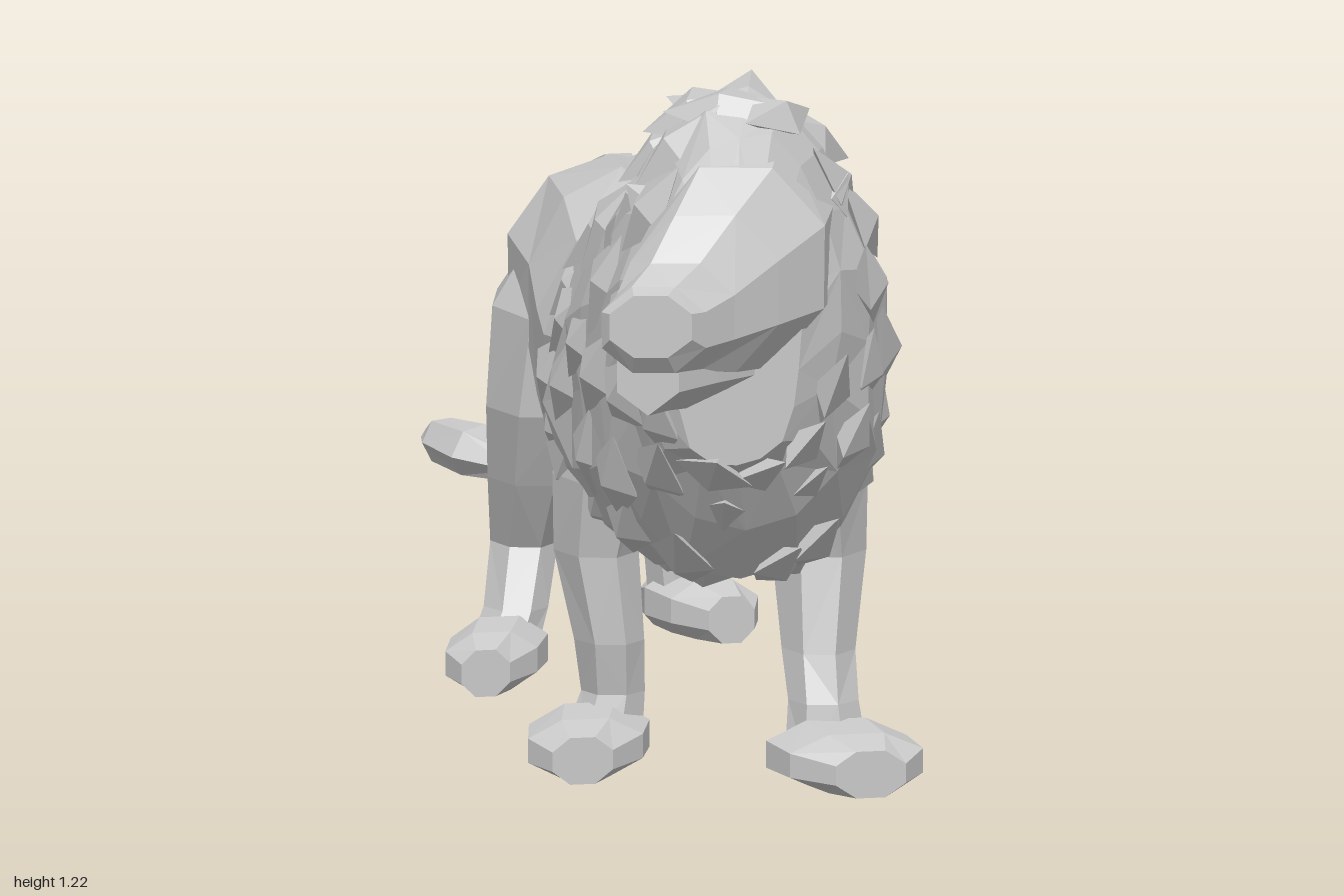
import * as THREE from 'three';
import { mergeGeometries } from 'three/addons/utils/BufferGeometryUtils.js';

const V = (x, y, z) => new THREE.Vector3(x, y, z);
let seed = 7;
const rnd = () => { seed = (seed * 16807) % 2147483647; return seed / 2147483647 - 0.5; };

// Skins elliptical rings [x, y, z, halfWidth, halfHeight] with capped ends.
// dir fixes the ring normal; without it the rings follow the path.
function loft(rings, sides, { dir, up = V(0, 1, 0), jitter = 0, egg = 0 } = {}) {
  const pos = [], idx = [], n = rings.length;
  const centre = i => V(rings[i][0], rings[i][1], rings[i][2]);
  rings.forEach((r, i) => {
    const t = (dir ? dir.clone() : centre(Math.min(i + 1, n - 1)).sub(centre(Math.max(i - 1, 0)))).normalize();
    const right = up.clone().cross(t).normalize(), top = t.clone().cross(right);
    for (let j = 0; j < sides; j++) {
      const a = (j + 0.5) / sides * Math.PI * 2, k = 1 + rnd() * jitter;
      const s = Math.sin(a), w = r[3] * k * (1 - egg * s), h = r[4] * k;
      pos.push(...centre(i).addScaledVector(right, Math.cos(a) * w).addScaledVector(top, s * h).toArray());
    }
  });
  for (let i = 0; i < n - 1; i++) for (let j = 0; j < sides; j++) {
    const a = i * sides + j, b = i * sides + (j + 1) % sides, c = b + sides, d = a + sides;
    // alternate the diagonal for an irregular faceted skin
    if ((i + j) % 2) idx.push(a, b, c, a, c, d);
    else idx.push(a, b, d, b, c, d);
  }
  pos.push(...centre(0).toArray(), ...centre(n - 1).toArray());
  const c0 = n * sides, e = (n - 1) * sides;
  for (let j = 0; j < sides; j++) {
    const k = (j + 1) % sides;
    idx.push(c0, k, j, c0 + 1, e + j, e + k);
  }
  const g = new THREE.BufferGeometry();
  g.setAttribute('position', new THREE.Float32BufferAttribute(pos, 3));
  g.setIndex(idx);
  const flat = g.toNonIndexed();
  flat.computeVertexNormals();
  return flat;
}

// A long diamond half sunk in a surface, lying along flow, thin along out
function lock(p, flow, out, width, length, thick) {
  const g = new THREE.OctahedronGeometry(1);
  g.scale(width, length / 2, thick);
  const y = flow.clone().normalize();
  const x = y.clone().cross(out).normalize(), z = x.clone().cross(y);
  g.applyMatrix4(new THREE.Matrix4().makeBasis(x, y, z).setPosition(p));
  g.computeVertexNormals();
  return g;
}

export function createModel() {
  seed = 7;
  const group = new THREE.Group();
  const stone = new THREE.MeshStandardMaterial({ color: 0xc8c8c8, flatShading: true });
  stone.name = 'pale grey';
  const add = (name, geo) => {
    const m = new THREE.Mesh(geo, stone);
    m.name = name;
    group.add(m);
  };
  const FWD = V(0, 0, 1), DOWN = V(0, -1, 0);

  // Trunk from rump to chest
  add('body', loft([
    [0.045, 0.75, -0.58, 0.06, 0.075], [0.04, 0.715, -0.52, 0.14, 0.14],
    [0.015, 0.69, -0.42, 0.185, 0.195], [-0.005, 0.665, -0.25, 0.17, 0.225],
    [-0.01, 0.615, -0.1, 0.18, 0.235], [0, 0.59, 0.02, 0.205, 0.255],
    [0.005, 0.61, 0.2, 0.22, 0.28], [0, 0.64, 0.4, 0.22, 0.3],
  ], 10, { dir: FWD, jitter: 0.05 }));

  // Mane core: an egg, widest low on the chest
  const mane = [
    [0.005, 0.62, 0.14, 0.2, 0.25], [0.005, 0.645, 0.25, 0.23, 0.29], [0, 0.685, 0.36, 0.255, 0.33],
    [0.005, 0.72, 0.46, 0.255, 0.365], [0.01, 0.755, 0.56, 0.258, 0.405], [0.01, 0.785, 0.65, 0.25, 0.415],
    [0, 0.845, 0.74, 0.22, 0.36], [-0.025, 0.87, 0.81, 0.175, 0.3], [-0.04, 0.8, 0.86, 0.11, 0.2],
  ];
  add('mane', loft(mane, 18, { dir: FWD, jitter: 0.1, egg: 0.12 }));

  // Broad shaggy locks sweeping back and down from the face
  const locks = [];
  mane.slice(1, 8).forEach((r, i) => {
    const count = 13;
    for (let j = 0; j < count; j++) {
      const a = (j + (i % 2) / 2 + rnd() * 0.5) / count * Math.PI * 2;
      const c = Math.cos(a), s = Math.sin(a);
      if (i > 5 && s > -0.2) continue; // keep the face clear
      const out = V(c / r[3], s / r[4], 1).normalize();
      const p = V(r[0] + c * r[3] * (1 - 0.12 * s) * 0.97, r[1] + s * r[4] * 0.97, r[2] + rnd() * 0.06);
      const flow = V(c * 0.2, -0.75 + rnd() * 0.4, -0.4 + rnd() * 0.4);
      flow.addScaledVector(out, -flow.dot(out));
      locks.push(lock(p, flow, out, 0.06 + rnd() * 0.02, 0.2 + rnd() * 0.06, 0.032));
    }
  });
  add('maneLocks', mergeGeometries(locks));

  // Blunt head turned a little towards its right
  const face = V(-0.2, 0, 1);
  add('head', loft([
    [0, 0.95, 0.72, 0.17, 0.21], [-0.035, 0.94, 0.83, 0.16, 0.185], [-0.1, 0.91, 0.885, 0.135, 0.145],
    [-0.16, 0.88, 0.93, 0.108, 0.1], [-0.205, 0.868, 0.968, 0.094, 0.08], [-0.215, 0.878, 0.99, 0.075, 0.058],
  ], 8, { dir: face, jitter: 0.03 }));
  add('lowerJaw', loft([
    [-0.07, 0.82, 0.8, 0.13, 0.12], [-0.165, 0.81, 0.9, 0.095, 0.095], [-0.213, 0.8, 0.96, 0.06, 0.08],
  ], 6, { dir: face }));
  const ears = [-0.16, 0.14].map(x => lock(V(x, 1.03, 0.74), V(x, 0.15, -0.05), V(0, 0.2, 1), 0.045, 0.12, 0.03));
  add('ears', mergeGeometries(ears));

  // Legs: rings stacked downwards [x, y, z, half x, half z]
  const legs = {
    leftFrontLeg: [
      [0.14, 0.66, 0.42, 0.08, 0.11], [0.165, 0.5, 0.45, 0.1, 0.15], [0.185, 0.38, 0.46, 0.08, 0.11],
      [0.17, 0.22, 0.515, 0.062, 0.085], [0.17, 0.14, 0.56, 0.06, 0.065], [0.175, 0.04, 0.58, 0.075, 0.06],
    ],
    rightFrontLeg: [
      [-0.14, 0.66, 0.34, 0.08, 0.1], [-0.16, 0.5, 0.35, 0.09, 0.13], [-0.175, 0.37, 0.35, 0.075, 0.1],
      [-0.155, 0.22, 0.375, 0.06, 0.07], [-0.15, 0.13, 0.365, 0.055, 0.06], [-0.17, 0.04, 0.375, 0.07, 0.065],
    ],
    leftHindLeg: [
      [0.085, 0.75, -0.41, 0.07, 0.1], [0.12, 0.62, -0.41, 0.095, 0.155], [0.135, 0.48, -0.48, 0.085, 0.145],
      [0.15, 0.38, -0.57, 0.068, 0.115], [0.165, 0.28, -0.66, 0.052, 0.085], [0.175, 0.15, -0.69, 0.048, 0.058],
      [0.19, 0.04, -0.69, 0.055, 0.055],
    ],
    rightHindLeg: [
      [-0.05, 0.77, -0.38, 0.07, 0.1], [-0.1, 0.64, -0.37, 0.1, 0.17], [-0.12, 0.47, -0.36, 0.095, 0.13],
      [-0.125, 0.34, -0.405, 0.075, 0.105], [-0.13, 0.22, -0.455, 0.058, 0.078], [-0.155, 0.12, -0.4, 0.053, 0.068],
      [-0.19, 0.04, -0.36, 0.06, 0.06],
    ],
  };
  for (const name in legs) add(name, loft(legs[name], 7, { dir: DOWN, up: FWD, jitter: 0.08 }));

  // Paws: heel x, z and toe x, z; widest in the middle and tapering to both ends
  const paws = {
    leftFrontPaw: [0.16, 0.53, 0.215, 0.74, 0.13],
    rightFrontPaw: [-0.17, 0.31, -0.235, 0.53, 0.112],
    leftHindPaw: [0.17, -0.745, 0.25, -0.565, 0.085],
    rightHindPaw: [-0.165, -0.41, -0.245, -0.215, 0.09],
  };
  for (const name in paws) {
    const [x0, z0, x1, z1, w] = paws[name];
    const ring = (t, k, h) => [x0 + (x1 - x0) * t, h + 0.003, z0 + (z1 - z0) * t, w * k, h * 1.08];
    add(name, loft([ring(0, 0.5, 0.045), ring(0.4, 1, 0.056), ring(0.75, 0.95, 0.05), ring(1, 0.5, 0.04)], 8, { dir: FWD }));
  }

  // Tail arching off the rump and ending in a tuft
  add('tail', loft([
    [0.04, 0.815, -0.48, 0.06, 0.045], [0.04, 0.79, -0.6, 0.05, 0.045], [0.04, 0.67, -0.685, 0.037, 0.04],
    [0.035, 0.46, -0.705, 0.028, 0.033], [0.01, 0.29, -0.745, 0.028, 0.026], [-0.06, 0.264, -0.815, 0.025, 0.022],
    [-0.125, 0.285, -0.89, 0.045, 0.054], [-0.165, 0.29, -0.96, 0.04, 0.04], [-0.175, 0.288, -1, 0.015, 0.018],
  ], 6, { up: V(1, 0, 0) }));

  return group;
}
